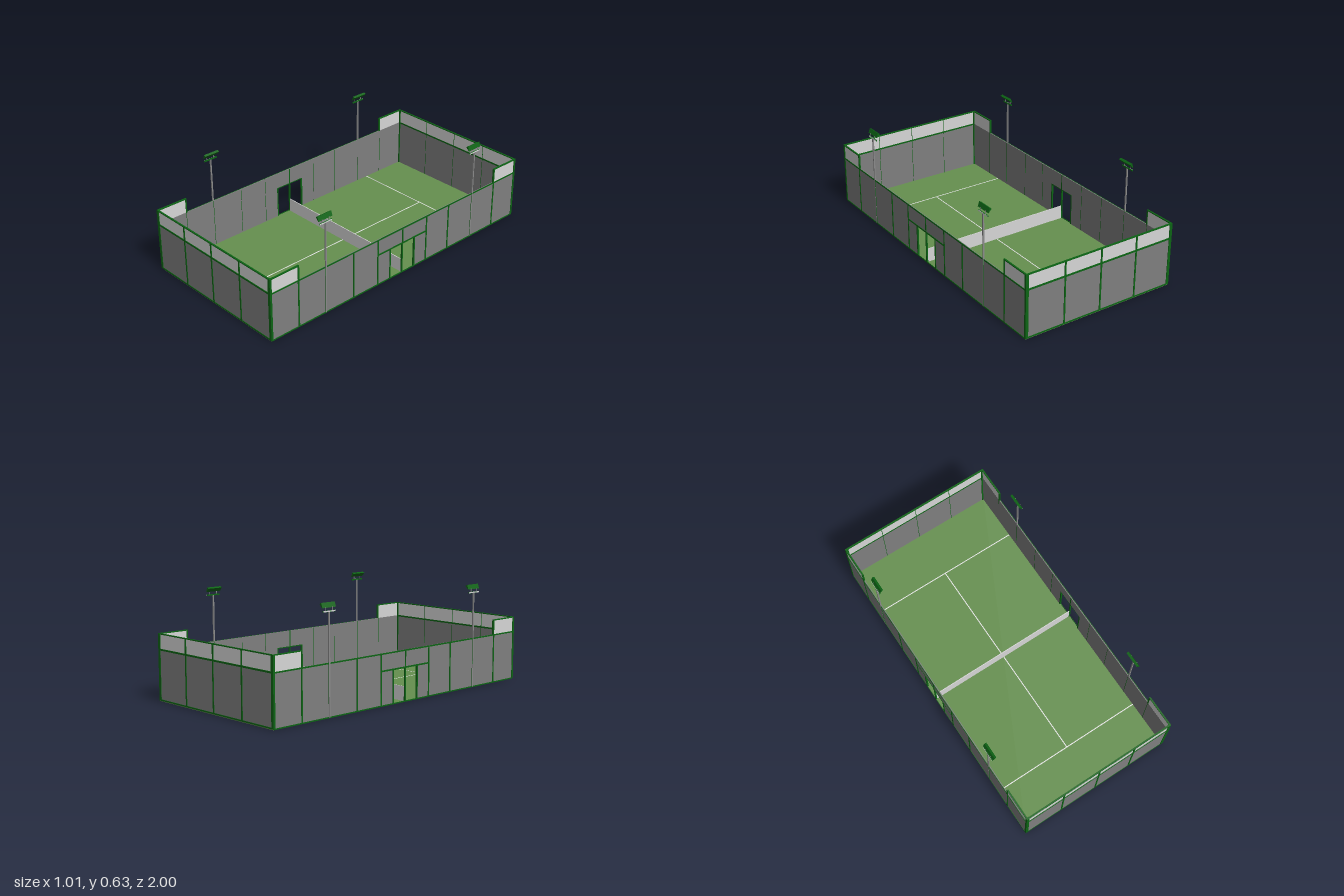
import * as THREE from 'three';

const mat = (name, color) => {
  const m = new THREE.MeshStandardMaterial({ color });
  m.name = name;
  return m;
};

export function createModel() {
  const court = new THREE.Group();
  court.name = 'court';
  const turf = mat('turf green', 0x66904f);
  const frame = mat('frame green', 0x0c6414);
  const glass = mat('wall grey', 0x7f7f7f);
  const mesh = mat('fence light grey', 0xd6d6d6);
  const white = mat('line white', 0xf4f4f4);
  const steel = mat('pole grey', 0x8a8a8a);

  // Box given by its minimum and maximum on each axis
  const box = (parent, name, material, [x0, x1], [y0, y1], [z0, z1]) => {
    const m = new THREE.Mesh(new THREE.BoxGeometry(x1 - x0, y1 - y0, z1 - z0), material);
    m.position.set((x0 + x1) / 2, (y0 + y1) / 2, (z0 + z1) / 2);
    m.name = name;
    parent.add(m);
    return m;
  };
  const around = (c, w) => [c - w / 2, c + w / 2];

  // Playing surface, painted lines and net
  box(court, 'floor', turf, [-0.5, 0.5], [0.0005, 0.004], [-0.998, 0.998]);
  for (const z of [-0.68, 0.70]) box(court, 'serviceLine', white, [-0.494, 0.494], [0, 0.005], around(z, 0.006));
  box(court, 'centreLine', white, around(0, 0.006), [0, 0.0049], [-0.68, 0.70]);
  box(court, 'net', mesh, [-0.494, 0.494], [0.004, 0.09], around(0, 0.005));

  // End wall, built at +z
  const endWall = () => {
    const g = new THREE.Group();
    g.name = 'endWall';
    box(g, 'endPanel', glass, [-0.495, 0.495], [0.002, 0.3], [0.991, 0.997]);
    box(g, 'endFence', mesh, [-0.495, 0.495], [0.3, 0.393], [0.992, 0.996]);
    box(g, 'topRail', frame, [-0.503, 0.503], [0.391, 0.397], [0.99, 1]);
    box(g, 'middleRail', frame, [-0.5, 0.5], [0.298, 0.308], [0.9905, 1]);
    box(g, 'bottomRail', frame, [-0.5, 0.5], [0.004, 0.012], [0.996, 1]);
    for (const x of [-0.245, 0, 0.245]) {
      box(g, 'endPost', frame, around(x, 0.01), [0.004, 0.393], [0.996, 1]);
      box(g, 'endSeam', frame, around(x, 0.003), [0.004, 0.393], [0.9903, 0.996]);
    }
    for (const x of [-0.494, 0.494]) box(g, 'cornerPost', frame, around(x, 0.018), [0.004, 0.396], [0.987, 1]);
    return g;
  };

  // Long wall, built at +x, with a two-way doorway in the middle
  const sideWall = () => {
    const g = new THREE.Group();
    g.name = 'sideWall';
    const outer = [0.4995, 0.503];
    box(g, 'doorLintelPanel', glass, [0.494, 0.5], [0.203, 0.305], [-0.1, 0.1]);
    for (const s of [-1, 1]) {
      const span = (a, b) => (s > 0 ? [a, b] : [-b, -a]);
      box(g, 'sidePanel', glass, [0.494, 0.5], [0.002, 0.305], span(0.1, 0.995));
      box(g, 'raisedFence', mesh, [0.495, 0.499], [0.305, 0.393], span(0.8, 0.995));
      box(g, 'raisedRail', frame, [0.493, 0.503], [0.391, 0.397], span(0.794, 0.995));
      box(g, 'raisedPost', frame, [0.493, 0.503], [0.304, 0.397], span(0.794, 0.803));
      box(g, 'doorPost', frame, [0.4935, 0.503], [0.003, 0.204], around(s * 0.1, 0.009));
      for (const z of [0.2, 0.39, 0.6, 0.8]) {
        box(g, 'sidePost', frame, outer, [0.003, 0.304], around(s * z, 0.009));
        box(g, 'sideSeam', frame, [0.4935, 0.4995], [0.003, 0.304], around(s * z, 0.003));
      }
    }
    box(g, 'centrePost', frame, [0.4935, 0.503], [0.003, 0.304], around(0, 0.008));
    box(g, 'sideTopRail', frame, outer, [0.298, 0.306], [-0.995, 0.995]);
    box(g, 'sideBottomRail', frame, outer, [0.001, 0.008], [-0.995, 0.995]);
    box(g, 'doorRail', frame, outer, [0.199, 0.208], [-0.2, 0.2]);
    box(g, 'doorRailInside', frame, [0.4935, 0.4995], [0.199, 0.205], [-0.1, 0.1]);
    return g;
  };

  // Floodlight, built at +x with the lamp leaning in over the court
  const lampShape = new THREE.Shape([
    [0.501, 0.604], [0.491, 0.632], [0.478, 0.625], [0.497, 0.604],
  ].map(([x, y]) => new THREE.Vector2(x, y)));
  const lampGeometry = new THREE.ExtrudeGeometry(lampShape, { depth: 0.1, bevelEnabled: false });
  lampGeometry.translate(0, 0, -0.05);
  const floodlight = (z) => {
    const g = new THREE.Group();
    g.name = 'floodlight';
    box(g, 'lightPole', steel, around(0.4995, 0.008), [0.004, 0.583], around(0, 0.008));
    box(g, 'crossbar', frame, [0.4965, 0.5025], [0.58, 0.588], around(0, 0.09));
    box(g, 'crossbarFace', mesh, [0.5025, 0.5035], [0.581, 0.588], around(0, 0.09));
    for (const b of [-0.025, 0.025]) box(g, 'lampBracket', steel, [0.499, 0.5015], [0.586, 0.609], around(b, 0.004));
    const lamp = new THREE.Mesh(lampGeometry, frame);
    lamp.name = 'lamp';
    g.add(lamp);
    g.position.z = z;
    return g;
  };

  // Repeat everything on the opposite half by a half turn
  for (const turn of [0, Math.PI]) {
    const half = new THREE.Group();
    half.name = turn ? 'rightBackHalf' : 'leftFrontHalf';
    half.add(endWall(), sideWall(), floodlight(0.6), floodlight(-0.6));
    half.rotation.y = turn;
    court.add(half);
  }
  return court;
}
